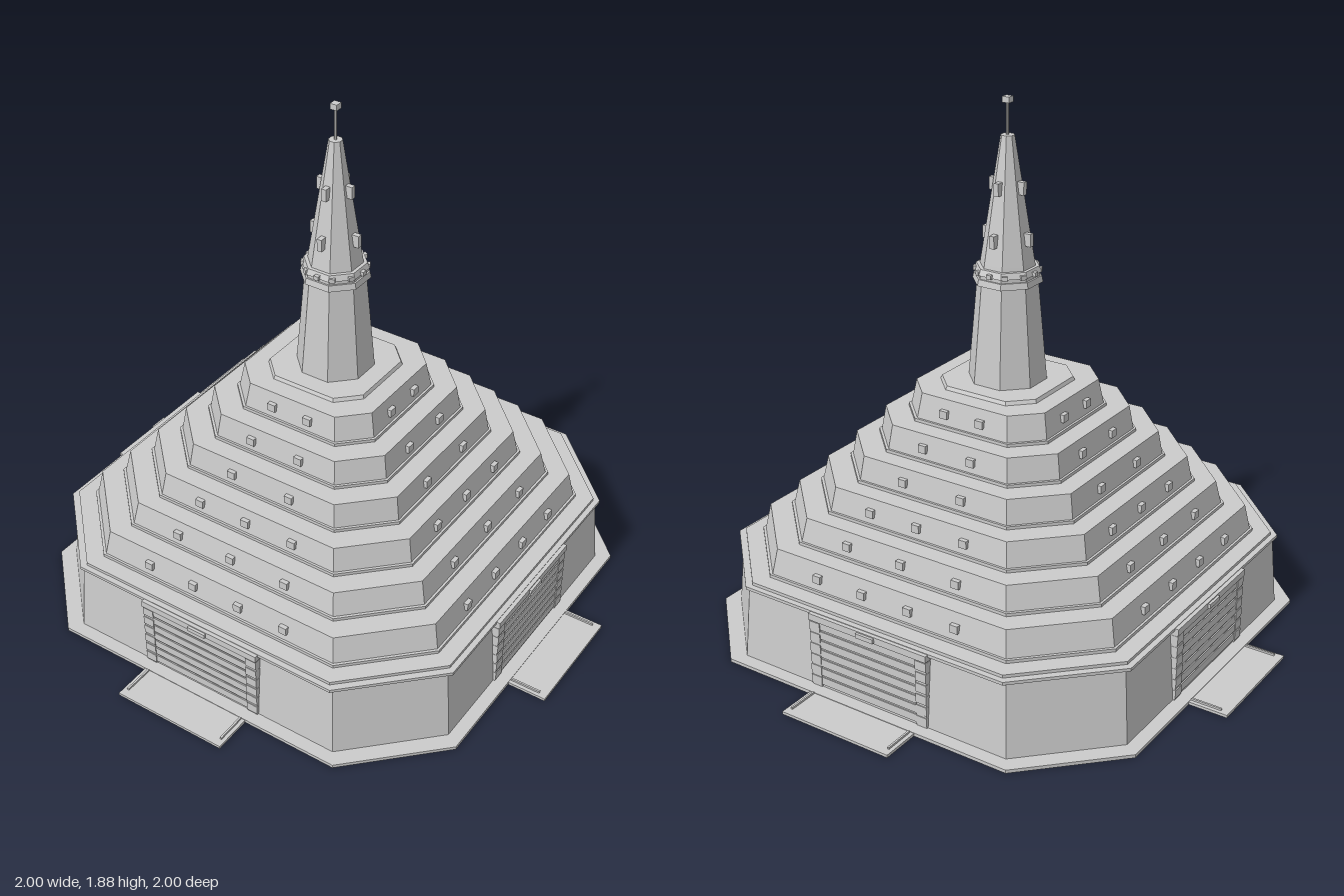
import * as THREE from 'three';

const grey = new THREE.MeshStandardMaterial({ color: 0xcccccc, flatShading: true });

// Square ring with chamfered corners: h = half width, c = where the chamfer starts
function ring(h, c, y) {
  return [[h, c], [h, -c], [c, -h], [-c, -h], [-h, -c], [-h, c], [-c, h], [c, h]]
    .map(([x, z]) => [x, y, z]);
}

// Tapered block between two chamfered rings
function chamferBlock(h0, h1, y0, y1, ratio = 0.66) {
  const a = ring(h0, h0 * ratio, y0), b = ring(h1, h1 * ratio, y1), p = [];
  for (let i = 0; i < 8; i++) {
    const j = (i + 1) % 8;
    p.push(...a[i], ...a[j], ...b[j], ...a[i], ...b[j], ...b[i]);
    if (i > 0 && i < 7) p.push(...b[0], ...b[i], ...b[j], ...a[0], ...a[j], ...a[i]);
  }
  const g = new THREE.BufferGeometry();
  g.setAttribute('position', new THREE.Float32BufferAttribute(p, 3));
  g.computeVertexNormals();
  return g;
}

function add(parent, name, geometry, x = 0, y = 0, z = 0) {
  const m = new THREE.Mesh(geometry, grey);
  m.name = name;
  m.position.set(x, y, z);
  parent.add(m);
  return m;
}

const box = (w, h, d) => new THREE.BoxGeometry(w, h, d);

// Eight-sided drum with flats facing the axes; radii are measured to the flats
function drum(parent, name, r0, r1, y0, y1) {
  const k = 1 / Math.cos(Math.PI / 8);
  const g = new THREE.CylinderGeometry(r1 * k, r0 * k, y1 - y0, 8);
  g.rotateY(Math.PI / 8);
  return add(parent, name, g, 0, (y0 + y1) / 2, 0);
}

export function createModel() {
  const model = new THREE.Group();
  model.name = 'steppedTower';

  // Ground slab and main storey
  add(model, 'baseSlab', chamferBlock(0.86, 0.86, 0, 0.012));
  add(model, 'mainStorey', chamferBlock(0.812, 0.792, 0.012, 0.275));
  add(model, 'mainCornice', chamferBlock(0.81, 0.81, 0.275, 0.286, 0.645));
  add(model, 'mainRoof', chamferBlock(0.79, 0.79, 0.286, 0.297, 0.645));

  // Tiers: bottom half width, top half width, bottom y, top y, window x positions
  const tiers = [
    [0.725, 0.705, 0.297, 0.4, [-0.28, -0.094, 0.094, 0.28]],
    [0.635, 0.615, 0.4, 0.495, [-0.222, 0, 0.222]],
    [0.545, 0.527, 0.495, 0.592, [-0.19, 0, 0.19]],
    [0.455, 0.44, 0.592, 0.689, [-0.118, 0.118]],
    [0.368, 0.353, 0.689, 0.786, [-0.097, 0.097]],
    [0.28, 0.262, 0.786, 0.886, [-0.072, 0.072]],
  ];
  tiers.forEach(([h0, h1, y0, y1]) => {
    add(model, 'tier', chamferBlock(h0, h1, y0, y1));
    add(model, 'tierTrim', chamferBlock(h0 + 0.006, h0 + 0.006, y0, y0 + 0.011));
  });
  add(model, 'tierTopSlab', chamferBlock(0.197, 0.192, 0.886, 0.899, 0.62));

  // Each side repeats the same windows, gate and apron
  for (let s = 0; s < 4; s++) {
    const side = new THREE.Group();
    side.name = 'side';
    side.rotation.y = s * Math.PI / 2;
    model.add(side);

    for (const [h0, h1, y0, y1, xs] of tiers)
      for (const x of xs)
        add(side, 'tierWindow', box(0.03, 0.028, 0.026), x, (y0 + y1) / 2, (h0 + h1) / 2);

    // Gate: slatted door, block pillars, lintel and nameplate
    add(side, 'gateDoor', box(0.4, 0.25, 0.03), 0, 0.137, 0.799);
    for (let i = 0; i < 7; i++)
      add(side, 'doorSlat', box(0.39, 0.028, 0.006), 0, 0.036 + i * 0.035, 0.815);
    for (const sx of [-1, 1]) {
      add(side, 'gatePillar', box(0.04, 0.25, 0.04), sx * 0.216, 0.137, 0.798);
      for (let i = 0; i < 6; i++)
        add(side, 'pillarBlock', box(0.042, 0.032, 0.04), sx * 0.216, 0.034 + i * 0.041, 0.801);
      add(side, 'apronRail', box(0.007, 0.016, 0.11), sx * 0.198, 0.009, 0.917);
    }
    add(side, 'gateLintel', box(0.478, 0.024, 0.042), 0, 0.272, 0.803);
    add(side, 'gatePlate', box(0.07, 0.016, 0.014), 0, 0.272, 0.826);
    add(side, 'apron', box(0.43, 0.01, 0.2), 0, 0.005, 0.9);

    // Tower collar studs and spire windows
    for (const a of [-0.5, 0, 0.5]) {
      const stud = add(side, 'collarStud', box(0.018, 0.015, 0.016),
        Math.sin(a) * 0.108, 1.29, Math.cos(a) * 0.108);
      stud.rotation.y = a;
    }
    add(side, 'spireWindow', box(0.018, 0.044, 0.03), 0, 1.405, 0.081);
    add(side, 'spireWindow', box(0.018, 0.044, 0.03), 0, 1.578, 0.054);
  }

  // Tower shaft, collar and spire
  drum(model, 'towerShaft', 0.127, 0.098, 0.897, 1.25);
  drum(model, 'collarBase', 0.112, 0.108, 1.25, 1.272);
  drum(model, 'collarBand', 0.102, 0.102, 1.272, 1.285);
  drum(model, 'collarTop', 0.107, 0.1, 1.285, 1.306);
  drum(model, 'spireFoot', 0.088, 0.086, 1.306, 1.32);
  drum(model, 'spire', 0.086, 0.022, 1.32, 1.75);

  // Mast with cap
  add(model, 'mast', new THREE.CylinderGeometry(0.005, 0.005, 0.115, 8), 0, 1.805, 0);
  add(model, 'mastCap', box(0.026, 0.02, 0.026), 0, 1.867, 0);

  return model;
}
